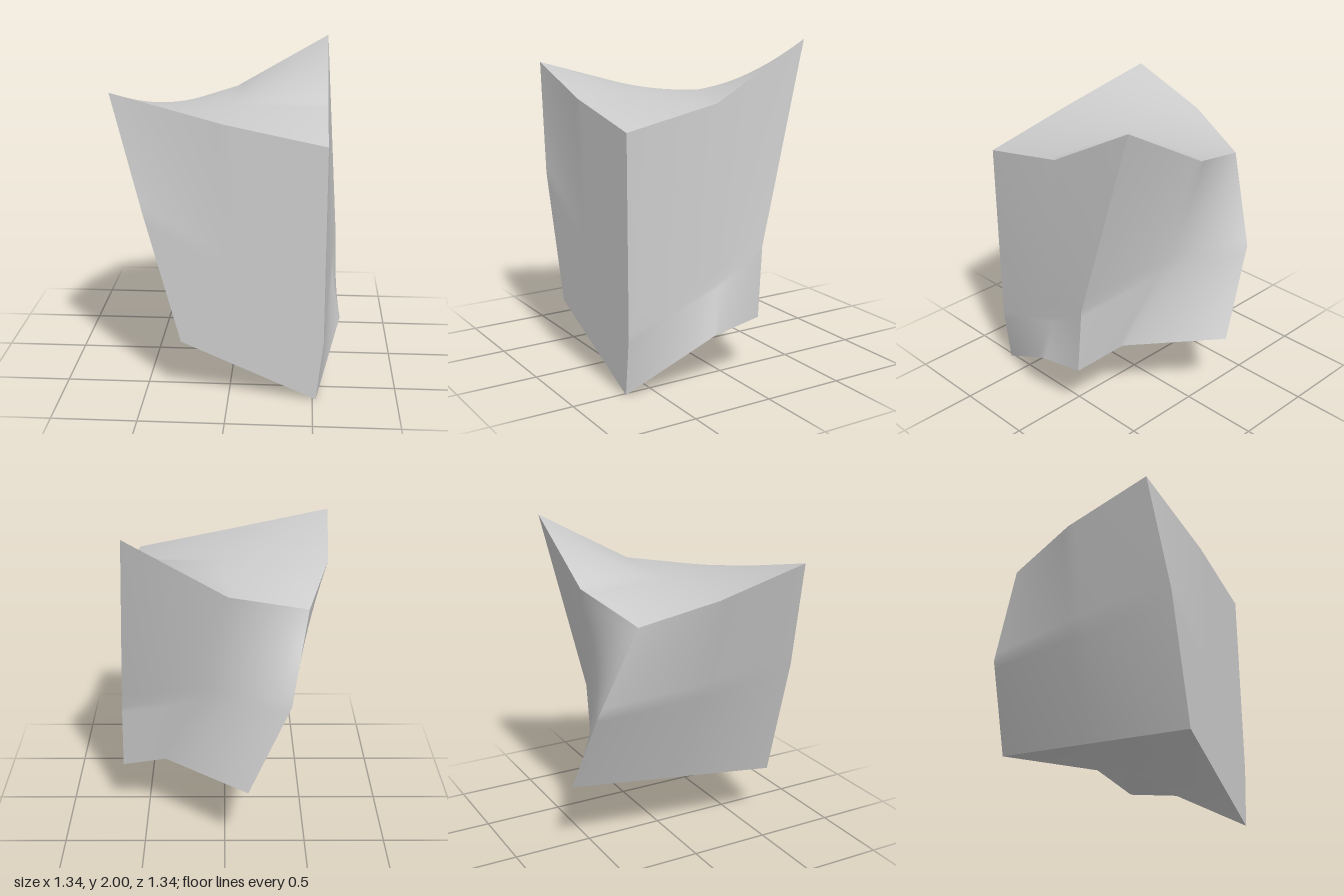
import * as THREE from 'three';

// Corners of the warped block (t/b = top/bottom, F/B = front/back, L/R = -x/+x)
const tFL = [-0.67, 1.82, 0.61], tFR = [0.56, 1.54, 0.67];
const tBL = [-0.49, 1.53, -0.39], tBR = [0.57, 2.0, -0.53];
const bFL = [-0.28, 0.35, 0.67], bFR = [0.52, 0, 0.67];
const bBL = [-0.14, 0.46, -0.67], bBR = [0.65, 0.36, -0.17];

// Middle points of the edges
const tF = [-0.02, 1.66, 0.67], tB = [-0.02, 1.66, -0.525];
const tL = [-0.63, 1.66, 0.06], tR = [0.565, 1.66, 0.08];
const bF = [0.12, 0.175, 0.67], bB = [0.37, 0.46, -0.27];
const bL = [-0.21, 0.405, 0], bR = [0.67, 0.31, 0.15];
const mFL = [-0.49, 1.14, 0.67], mFR = [0.56, 0.36, 0.67];
const mBL = [-0.39, 1.0, -0.6], mBR = [0.64, 0.79, -0.2];

// Each face: 3 x 3 net, top-left to bottom-right as seen from outside
const faces = {
  frontFace: [[tFL, tF, tFR], [mFL, [0.05, 0.8, 0.67], mFR], [bFL, bF, bFR]],
  backFace: [[tBR, tB, tBL], [mBR, [0.12, 0.98, -0.4], mBL], [bBR, bB, bBL]],
  rightFace: [[tFR, tR, tBR], [mFR, [0.61, 0.6, 0.1], mBR], [bFR, bR, bBR]],
  leftFace: [[tBL, tL, tFL], [mBL, [-0.46, 1.06, 0.03], mFL], [bBL, bL, bFL]],
  topFace: [[tBL, tB, tBR], [tL, [-0.02, 1.66, 0.07], tR], [tFL, tF, tFR]],
  bottomFace: [[bFL, bF, bFR], [bL, [0.17, 0.36, 0.03], bR], [bBL, bB, bBR]],
};

const mix = (a, b, t) => a.map((v, i) => v + (b[i] - v) * t);

// Piecewise bilinear patch over a 3 x 3 net, n cells per side
function warpedFace(net, n = 24) {
  const pos = [], index = [];
  for (let r = 0; r <= n; r++) {
    for (let c = 0; c <= n; c++) {
      const v = (r / n) * 2, u = (c / n) * 2;
      const i = Math.min(1, Math.floor(v)), j = Math.min(1, Math.floor(u));
      const top = mix(net[i][j], net[i][j + 1], u - j);
      const low = mix(net[i + 1][j], net[i + 1][j + 1], u - j);
      pos.push(...mix(top, low, v - i));
      if (r < n && c < n) {
        const a = r * (n + 1) + c, d = a + n + 1;
        index.push(a, d, a + 1, a + 1, d, d + 1);
      }
    }
  }
  const geo = new THREE.BufferGeometry();
  geo.setAttribute('position', new THREE.Float32BufferAttribute(pos, 3));
  geo.setIndex(index);
  geo.computeVertexNormals();
  return geo;
}

export function createModel() {
  const group = new THREE.Group();
  group.name = 'warpedBlock';
  const material = new THREE.MeshStandardMaterial({ color: 0xcccccc });
  for (const [name, net] of Object.entries(faces)) {
    const mesh = new THREE.Mesh(warpedFace(net), material);
    mesh.name = name;
    group.add(mesh);
  }
  return group;
}
